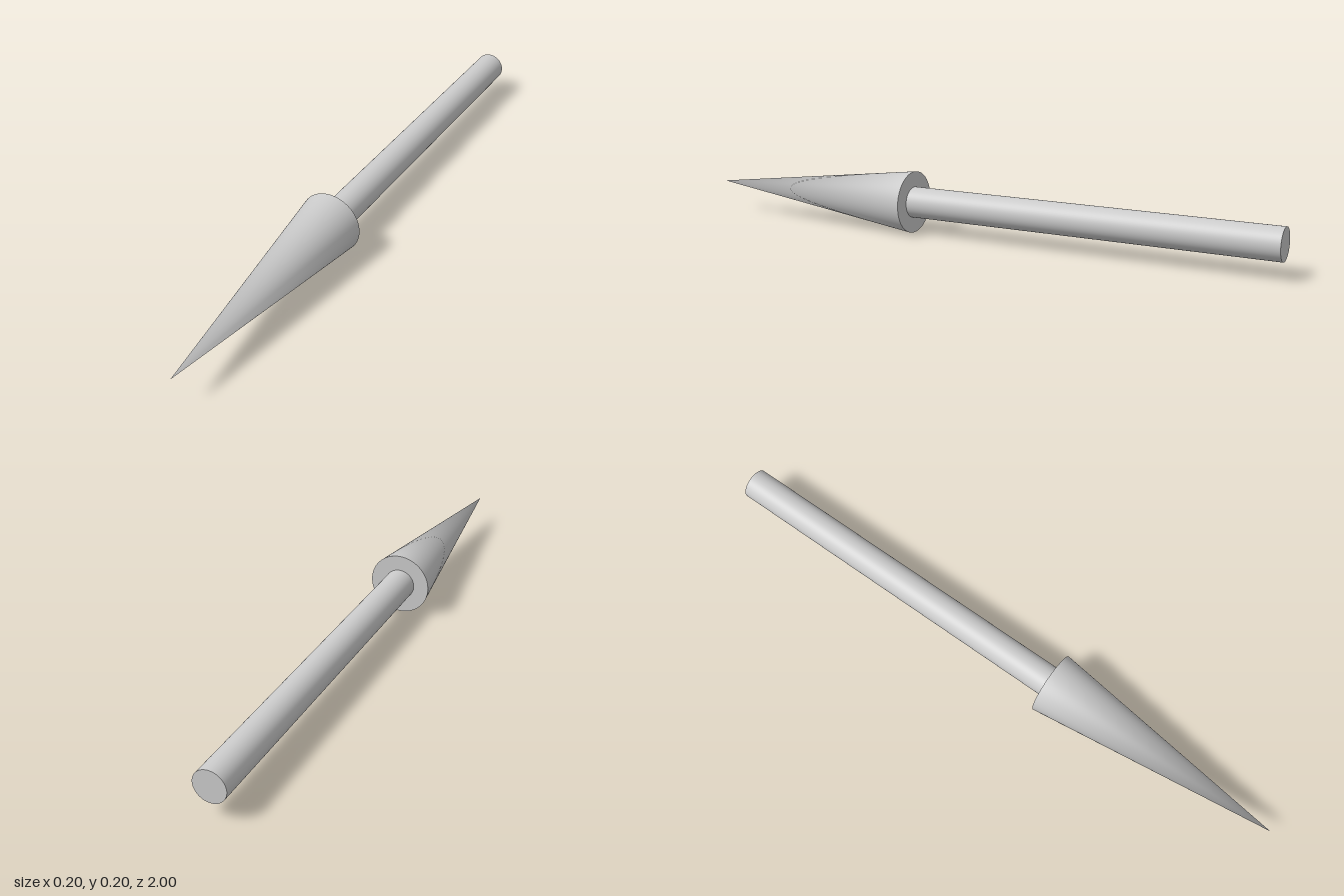
import * as THREE from 'three';

const SIDES = 64;
const AXIS_HEIGHT = 0.1;

export function createModel() {
  const group = new THREE.Group();
  group.name = 'arrow';
  const material = new THREE.MeshStandardMaterial({ color: 0xcccccc });

  // Lays a y-axis solid along +z, spanning zBack to zFront
  const addPart = (name, geometry, zBack, zFront) => {
    geometry.rotateX(Math.PI / 2);
    geometry.translate(0, AXIS_HEIGHT, (zBack + zFront) / 2);
    const mesh = new THREE.Mesh(geometry, material);
    mesh.name = name;
    group.add(mesh);
  };

  // Round shaft
  addPart('shaft', new THREE.CylinderGeometry(0.05, 0.05, 1.2, SIDES), -1, 0.2);

  // Pointed head: the tip normals face along the axis for a soft point
  const head = new THREE.ConeGeometry(0.1, 0.8, SIDES);
  const { position, normal } = head.attributes;
  for (let i = 0; i < position.count; i++) {
    if (position.getY(i) > 0.39) normal.setXYZ(i, 0, 1, 0);
  }
  addPart('head', head, 0.2, 1);

  return group;
}
